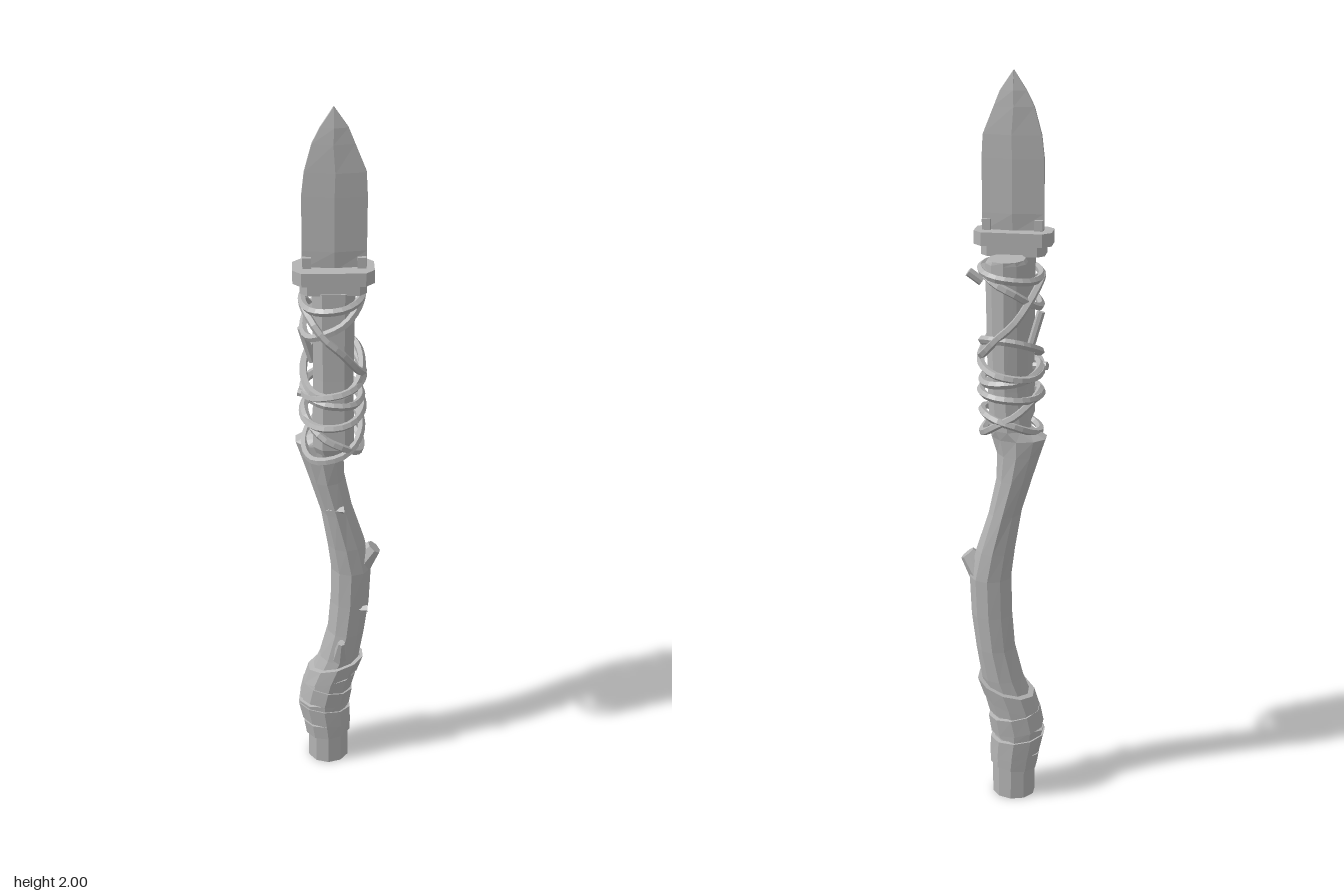
import * as THREE from 'three';

const grey = new THREE.MeshStandardMaterial({ color: 0xb4b4b4, flatShading: true });
grey.name = 'plain grey';

// Skin a stack of equal-length rings (arrays of [x, y, z]) and cap both ends.
function loft(rings) {
  const n = rings[0].length, last = (rings.length - 1) * n, idx = [];
  for (let i = 0; i < rings.length - 1; i++) {
    for (let j = 0; j < n; j++) {
      const a = i * n + j, b = i * n + (j + 1) % n, c = a + n, d = b + n;
      idx.push(a, c, b, b, c, d);
    }
  }
  for (let j = 1; j < n - 1; j++) idx.push(0, j, j + 1, last, last + j + 1, last + j);
  const g = new THREE.BufferGeometry();
  g.setAttribute('position', new THREE.Float32BufferAttribute(rings.flat(2), 3));
  g.setIndex(idx);
  const flat = g.toNonIndexed();
  flat.computeVertexNormals();
  return flat;
}

// Rectangle ring with cut corners.
function chamfered(y, x0, x1, z0, z1, c) {
  return [[x1, z0 + c], [x1, z1 - c], [x1 - c, z1], [x0 + c, z1],
    [x0, z1 - c], [x0, z0 + c], [x0 + c, z0], [x1 - c, z0]].map(([x, z]) => [x, y, z]);
}

// Branch outline: height, left edge, right edge.
const outline = [
  [0, -0.09, 0.025], [0.1, -0.09, 0.025], [0.2, -0.108, 0.018], [0.28, -0.088, 0.03],
  [0.36, -0.055, 0.055], [0.45, -0.032, 0.07], [0.55, -0.024, 0.083], [0.66, -0.022, 0.088],
  [0.74, -0.032, 0.07], [0.85, -0.05, 0.035], [0.95, -0.08, 0.014], [1.02, -0.102, 0.012],
  [1.065, -0.117, 0.026], [1.09, -0.075, 0.032], [1.2, -0.066, 0.036], [1.53, -0.064, 0.042],
  [1.54, -0.058, 0.036],
];
const branchZ = -0.038, branchR = 0.057;

function edgesAt(y) {
  const k = Math.max(1, outline.findIndex((o) => o[0] >= y));
  const [a, b] = [outline[k - 1], outline[k]], t = (y - a[0]) / (b[0] - a[0]);
  return [a[1] + (b[1] - a[1]) * t, a[2] + (b[2] - a[2]) * t];
}

// Ring that follows the branch, grown by pad and tilted sideways and forwards.
function branchRing(y, pad = 0, tiltX = 0, tiltZ = 0, sides = 10) {
  return Array.from({ length: sides }, (_, j) => {
    const a = ((j + 0.5) / sides) * Math.PI * 2, c = Math.cos(a), s = Math.sin(a);
    const h = y + tiltX * c + tiltZ * s, [l, r] = edgesAt(Math.max(0, h));
    return [(l + r) / 2 + c * ((r - l) / 2 + pad) * 1.04, h, branchZ + s * (branchR + pad)];
  });
}

// Tapered stub between two points.
function stub(from, to, r0, r1) {
  const a = new THREE.Vector3(...from), b = new THREE.Vector3(...to), d = b.clone().sub(a);
  const g = new THREE.CylinderGeometry(r1, r0, d.length(), 7);
  g.applyQuaternion(new THREE.Quaternion().setFromUnitVectors(new THREE.Vector3(0, 1, 0), d.normalize()));
  return g.translate((a.x + b.x) / 2, (a.y + b.y) / 2, (a.z + b.z) / 2);
}

export function createModel() {
  const root = new THREE.Group();
  root.name = 'lashedSpear';
  const add = (name, geometry) => {
    const m = new THREE.Mesh(geometry, grey);
    m.name = name;
    root.add(m);
    return m;
  };

  // Crooked branch, its cut knots and bark chips
  add('branchShaft', loft(outline.map(([y]) => branchRing(y))));
  add('sideKnot', stub([0.03, 0.64, -0.038], [0.097, 0.72, -0.036], 0.052, 0.022));
  add('frontTwig', stub([0, 0.36, -0.005], [0.005, 0.44, 0.028], 0.025, 0.01));
  for (const [y, tilt] of [[0.54, 0.006], [0.87, 0]]) {
    const [l, r] = edgesAt(y), chip = add('barkChip', new THREE.ConeGeometry(0.012, 0.05, 4));
    chip.rotation.z = Math.PI / 2 + tilt * 10;
    chip.position.set((l + r) / 2 + (y < 0.6 ? 0.025 : 0), y, y < 0.6 ? 0.005 : 0.012);
  }

  // Cloth grip: overlapping tilted bands (bottom, top, pad, tiltX, tiltZ)
  const bands = [
    [0.09, 0.135, 0.006, 0.006, 0], [0.13, 0.185, 0.009, -0.008, 0.006],
    [0.175, 0.215, 0.006, 0.012, -0.005], [0.205, 0.255, 0.01, -0.012, 0.004],
    [0.245, 0.3, 0.007, 0.008, -0.008], [0.285, 0.335, 0.011, 0.024, 0.008],
  ];
  for (const [y0, y1, pad, tx, tz] of bands) {
    add('gripBand', loft([branchRing(y0, pad, tx, tz), branchRing(y1, pad + 0.002, tx, tz)]));
  }
  add('gripLooseEnd', stub([0.03, 0.32, -0.03], [0.06, 0.355, -0.03], 0.016, 0.008));

  // Knife handle, collar and guard
  add('knifeHandle', loft([
    chamfered(1.08, -0.062, 0.028, 0.008, 0.088, 0.022),
    chamfered(1.1, -0.07, 0.036, 0.003, 0.094, 0.024),
    chamfered(1.3, -0.068, 0.034, 0.005, 0.092, 0.024),
    chamfered(1.54, -0.07, 0.036, 0.003, 0.094, 0.024),
  ]));
  add('guardCollar', loft([1.535, 1.57].map((y) => chamfered(y, -0.1, 0.066, 0.004, 0.09, 0.018))));
  add('guard', loft([1.562, 1.597].map((y) => chamfered(y, -0.118, 0.085, -0.003, 0.096, 0.022))));

  // Blade: height, left edge, right edge, half thickness at the ridge
  const blade = [
    [1.59, -0.094, 0.066, 0.014], [1.64, -0.094, 0.066, 0.018], [1.78, -0.094, 0.067, 0.018],
    [1.84, -0.087, 0.064, 0.017], [1.91, -0.068, 0.036, 0.014], [1.95, -0.048, 0.02, 0.011],
    [2, -0.016, -0.014, 0.004],
  ];
  add('blade', loft(blade.map(([y, l, r, t]) => {
    const m = (l + r) / 2, e = t * 0.35, z = 0.047;
    return [[r, y, z - e], [r, y, z + e], [m, y, z + t], [l, y, z + e], [l, y, z - e], [m, y, z - t]];
  })));
  for (const x of [-0.082, 0.054]) {
    add('bladeShoulder', new THREE.BoxGeometry(0.022, 0.03, 0.036)).position.set(x, 1.61, 0.047);
  }

  // Cord lashings: height, sideways tilt, front tilt, size
  const cords = [
    [1.5, 0.012, 0, 1], [1.46, 0.05, -0.015, 0.97], [1.385, -0.1, 0.02, 1.02], [1.3, 0.01, -0.04, 0.98],
    [1.255, 0.02, 0.01, 1.02], [1.23, -0.012, 0.005, 0.97], [1.18, 0.008, -0.006, 1.02],
    [1.125, -0.055, 0, 0.97], [1.1, 0.03, -0.02, 0.98],
  ];
  for (const [y, tx, tz, k] of cords) {
    const pts = Array.from({ length: 14 }, (_, j) => {
      const a = (j / 14) * Math.PI * 2, c = Math.cos(a), s = Math.sin(a);
      const sx = Math.sign(c) * Math.abs(c) ** 0.8;
      return new THREE.Vector3(-0.018 + sx * 0.077 * k, y + tx * c + tz * s, -0.002 + s * 0.11 * k);
    });
    add('cordLoop', new THREE.TubeGeometry(new THREE.CatmullRomCurve3(pts, true), 28, 0.0105, 5, true));
  }

  // Loose cord ends
  add('cordEnd', stub([0.045, 1.49, -0.085], [0.078, 1.515, -0.09], 0.012, 0.012));
  add('cordEnd', stub([-0.07, 1.235, 0.04], [-0.108, 1.24, 0.03], 0.011, 0.011));
  add('cordEnd', stub([-0.07, 1.3, -0.03], [-0.098, 1.4, -0.02], 0.011, 0.011));
  return root;
}
